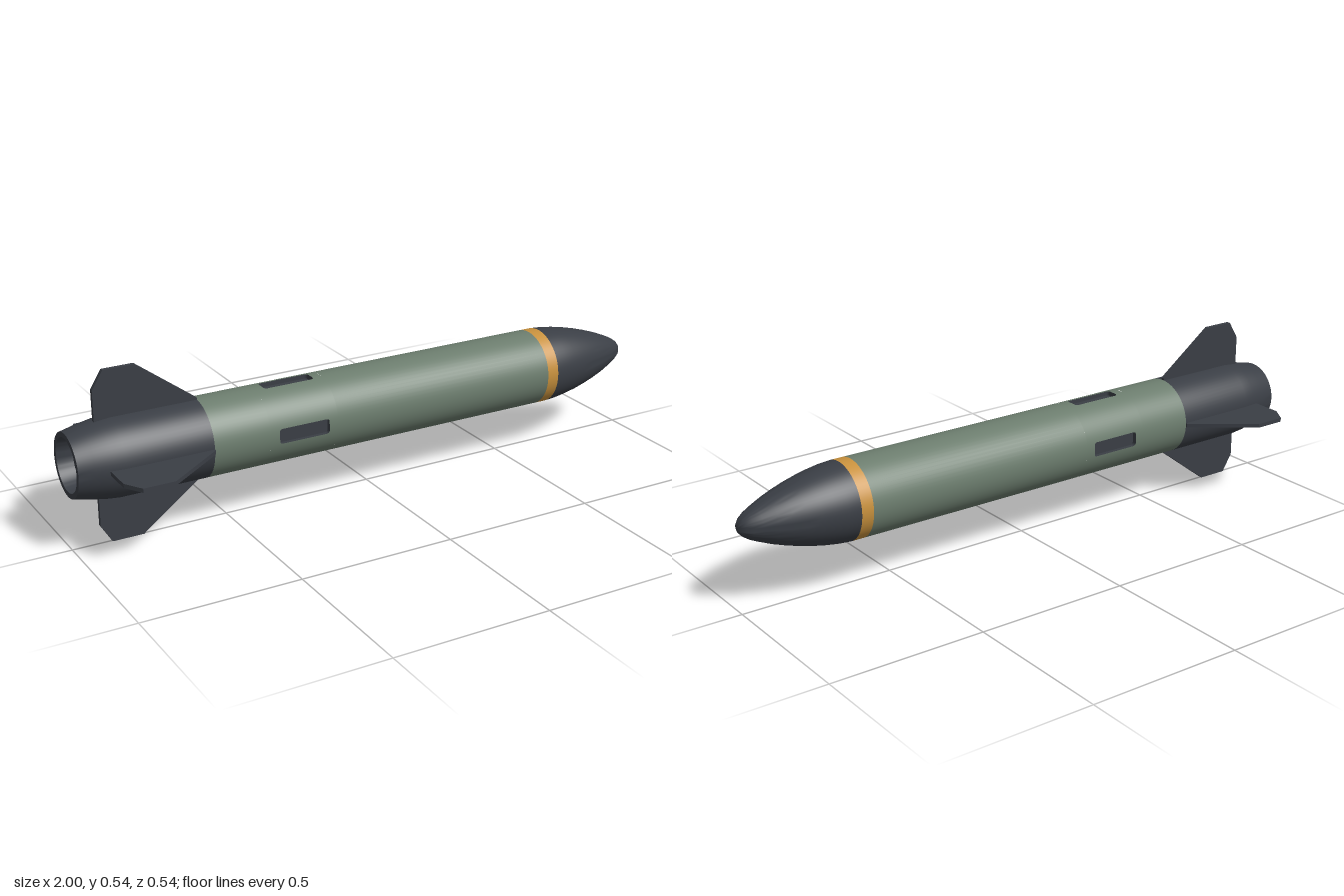
import * as THREE from 'three';
import { toCreasedNormals } from 'three/addons/utils/BufferGeometryUtils.js';

const R = 0.124;      // body radius
const AXIS_Y = 0.272; // height of the centre line
const SEG = 64;

const paint = (name, color) => {
  const m = new THREE.MeshStandardMaterial({ color });
  m.name = name;
  return m;
};

export function createModel() {
  const green = paint('body green', 0x6c7d6e);
  const dark = paint('dark grey', 0x3a3e45);
  const amber = paint('amber band', 0xc8913d);

  const model = new THREE.Group();
  model.name = 'rocket';
  model.position.y = AXIS_Y;

  const add = (name, geometry, material, parent = model) => {
    const mesh = new THREE.Mesh(geometry, material);
    mesh.name = name;
    parent.add(mesh);
    return mesh;
  };

  // Turned part along x from [x, radius] points, tail to nose
  const turned = (points, crease = 0.5) => {
    const g = new THREE.LatheGeometry(points.map(([x, r]) => new THREE.Vector2(r, x)), SEG);
    return toCreasedNormals(g.rotateZ(-Math.PI / 2), crease);
  };

  // Open tube wall along x, optionally only part of the way round
  const tube = (x0, x1, segments = SEG, start = 0, sweep = Math.PI * 2) =>
    new THREE.CylinderGeometry(R, R, x1 - x0, segments, 1, true, start, sweep)
      .rotateZ(-Math.PI / 2).translate((x0 + x1) / 2, 0, 0);

  // Tail with tapered end and hollow nozzle
  add('tail', turned([
    [-0.95, 0], [-0.95, 0.08], [-1, 0.084], [-1, 0.1],
    [-0.95, 0.111], [-0.9, 0.12], [-0.86, R], [-0.585, R],
  ]), dark);

  // Main body, leaving out the section that carries the slots
  const X0 = -0.4, X1 = -0.17, HALF = 0.25;
  add('rearBody', tube(-0.585, X0), green);
  add('frontBody', tube(X1, 0.62), green);
  add('noseBand', tube(0.62, 0.66), amber);

  // Rounded nose
  add('nose', turned([
    [0.66, R], [0.7, 0.121], [0.74, 0.115], [0.78, 0.107], [0.82, 0.097],
    [0.86, 0.085], [0.9, 0.071], [0.94, 0.054], [0.965, 0.042],
    [0.984, 0.029], [0.995, 0.016], [1, 0],
  ], 0.8), dark);

  // Slot outline as (x, angle) loops: outer panel edge and rounded opening
  const midX = (X0 + X1) / 2, halfX = (X1 - X0) / 2;
  const slotX = 0.085, slotZ = 0.024, round = 0.009;
  const outer = [], rim = [], floor = [], centre = [];
  const onBody = (x, t, r) => new THREE.Vector3(midX + x, r * Math.cos(t), r * Math.sin(t));
  const corners = [[1, 1], [-1, 1], [-1, -1], [1, -1]];
  corners.forEach(([sx, sz], k) => {
    for (let i = 0; i <= 6; i++) {
      const a = (k + i / 6) * Math.PI / 2;
      const c = Math.cos(a), s = Math.sin(a), m = Math.max(Math.abs(c), Math.abs(s));
      const cx = sx * (slotX - round), cz = sz * (slotZ - round);
      const x = cx + round * c, z = cz + round * s;
      const ct = cz / R;
      outer.push(onBody(
        cx + (halfX - Math.abs(cx)) * c / m,
        ct + (HALF - Math.abs(ct)) * s / m, R));
      rim.push(onBody(x, Math.asin(z / R), R));
      floor.push(new THREE.Vector3(midX + x, R - 0.016, z));
      centre.push(new THREE.Vector3(midX, R - 0.016, 0));
    }
  });

  // Joins neighbouring loops with faces that point outwards
  const loft = (...loops) => {
    const pts = [];
    for (let l = 0; l + 1 < loops.length; l++) {
      const a = loops[l], b = loops[l + 1];
      a.forEach((p, i) => {
        const j = (i + 1) % a.length;
        pts.push(p, b[j], a[j], p, b[i], b[j]);
      });
    }
    return new THREE.BufferGeometry().setFromPoints(pts);
  };

  const panelSkin = loft(outer, rim);
  const pos = panelSkin.attributes.position;
  const normals = [];
  for (let i = 0; i < pos.count; i++) normals.push(0, pos.getY(i) / R, pos.getZ(i) / R);
  panelSkin.setAttribute('normal', new THREE.Float32BufferAttribute(normals, 3));
  const recess = loft(rim, floor, centre);
  recess.computeVertexNormals();

  // Tail fin outline
  const finShape = new THREE.Shape([
    [-0.91, 0.09], [-0.585, 0.09], [-0.585, 0.13], [-0.775, 0.272],
    [-0.875, 0.272], [-0.91, 0.215],
  ].map(([x, y]) => new THREE.Vector2(x, y)));
  const finGeometry = new THREE.ExtrudeGeometry(finShape, { depth: 0.013, bevelEnabled: false })
    .translate(0, 0, -0.0065);

  // Four slots, the skin between them, and four fins
  const arc = tube(X0, X1, 16, HALF, Math.PI / 2 - 2 * HALF);
  for (let i = 0; i < 4; i++) {
    const quarter = new THREE.Group();
    quarter.name = 'quarter' + (i + 1);
    quarter.rotation.x = i * Math.PI / 2;
    add('slotPanel', panelSkin, green, quarter);
    add('slotRecess', recess, dark, quarter);
    add('bodySkin', arc, green, quarter);
    add('fin', finGeometry, dark, quarter);
    model.add(quarter);
  }

  const root = new THREE.Group();
  root.name = 'model';
  root.add(model);
  return root;
}
